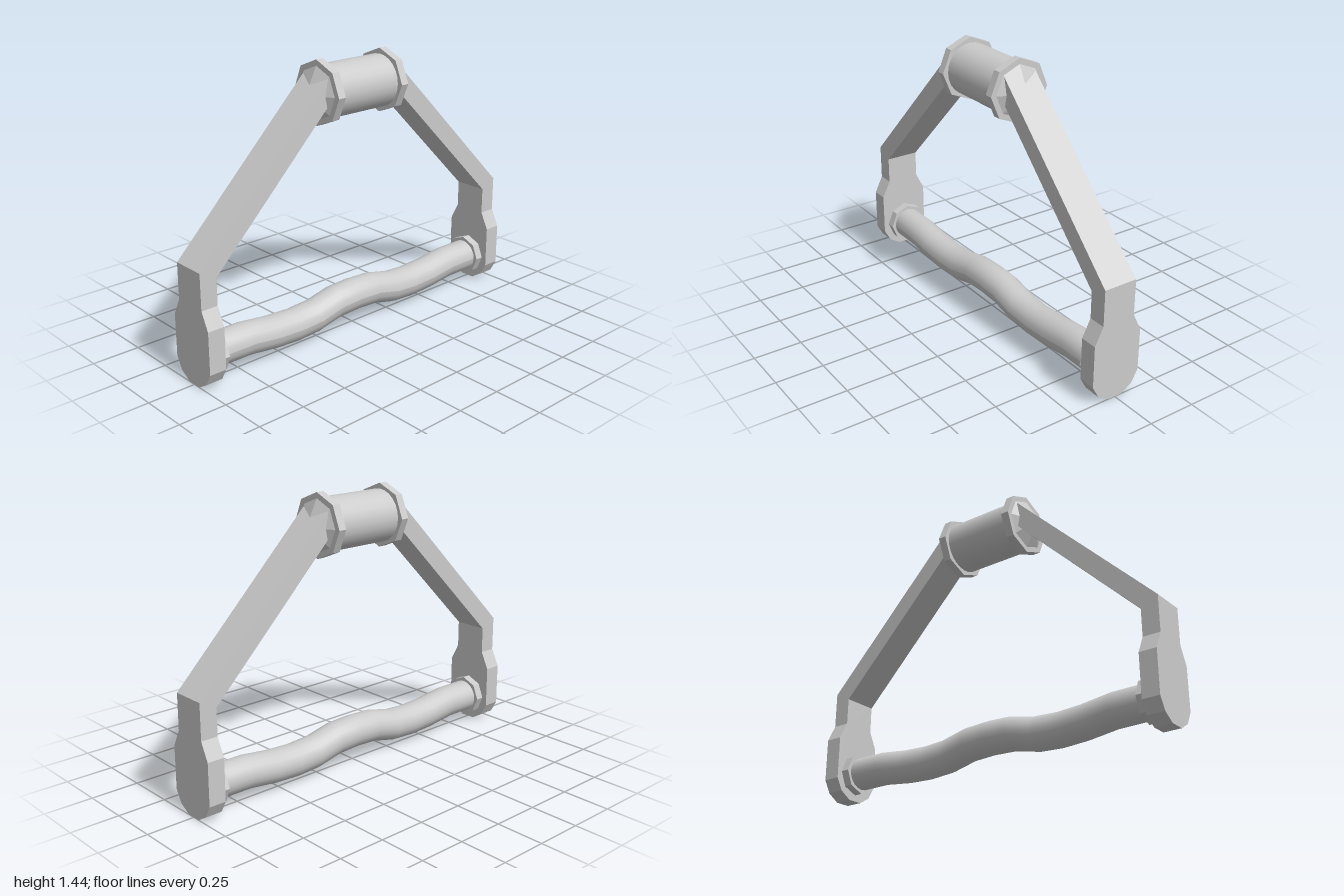
import * as THREE from 'three';

const material = new THREE.MeshStandardMaterial({ color: 0xcccccc });
const flatMaterial = new THREE.MeshStandardMaterial({ color: 0xcccccc, flatShading: true });

const HUB_Y = 1.277;
const GRIP_Y = 0.14;

function part(name, geometry, mat = flatMaterial) {
  const mesh = new THREE.Mesh(geometry, mat);
  mesh.name = name;
  return mesh;
}

// Cylinder or cone lying along x, from x0 to x1
function rod(r0, r1, x0, x1, y, sides, open = false) {
  return new THREE.CylinderGeometry(r1, r0, x1 - x0, sides, 1, open)
    .rotateZ(-Math.PI / 2)
    .translate((x0 + x1) / 2, y, 0);
}

function extrude(points, depth) {
  const shape = new THREE.Shape(points.map(([x, y]) => new THREE.Vector2(x, y)));
  return new THREE.ExtrudeGeometry(shape, { depth, bevelEnabled: false });
}

// Upright end plate: wide rounded foot, narrow neck, top mitred to meet the arm
function sidePlate() {
  const half = [[0.04, 0], [0.1, 0.037], [0.135, 0.1], [0.135, 0.32], [0.09, 0.41], [0.09, 0.595]];
  const mirrored = half.map(([z, y]) => [-z, y]).reverse();
  const geometry = extrude([...half, ...mirrored], 0.09).rotateY(Math.PI / 2).translate(0.91, 0, 0);
  const p = geometry.attributes.position;
  for (let i = 0; i < p.count; i++) {
    if (p.getY(i) > 0.5 && p.getX(i) < 0.95) p.setY(i, 0.55);
  }
  geometry.computeVertexNormals();
  return geometry;
}

// Sloping flat bar from the plate up into the hub
function arm() {
  return extrude([[0.91, 0.55], [1, 0.595], [0.228, 1.367], [0.228, 1.232]], 0.18).translate(0, 0, -0.09);
}

// Wavy hand grip: a cylinder whose rings follow a height profile
function grip() {
  const half = [[0, 0.158], [0.13, 0.152], [0.27, 0.12], [0.4, 0.112], [0.54, 0.119], [0.7, 0.139], [0.91, GRIP_Y]];
  const rings = [...half.slice(1).reverse().map(([x, y]) => [-x, y]), ...half];
  const n = rings.length - 1;
  const geometry = new THREE.CylinderGeometry(0.085, 0.085, n, 20, n, true).rotateZ(-Math.PI / 2);
  const p = geometry.attributes.position;
  for (let i = 0; i < p.count; i++) {
    const [x, y] = rings[Math.round(p.getX(i) + n / 2)];
    p.setX(i, x);
    p.setY(i, p.getY(i) + y);
  }
  geometry.computeVertexNormals();
  return geometry;
}

// Everything that repeats at both ends
function side(name) {
  const group = new THREE.Group();
  group.name = name;
  group.add(
    part('sidePlate', sidePlate()),
    part('arm', arm()),
    part('gripCollar', rod(0.107, 0.107, 0.865, 0.912, GRIP_Y, 8)),
    part('hubFlange', rod(0.163, 0.163, 0.185, 0.228, HUB_Y, 8)),
    part('hubCap', rod(0.135, 0, 0.227, 0.295, HUB_Y, 8, true)),
  );
  return group;
}

export function createModel() {
  const model = new THREE.Group();
  model.name = 'pullHandle';
  const left = side('leftSide');
  const right = side('rightSide');
  right.rotation.y = Math.PI;
  model.add(
    left,
    right,
    part('grip', grip(), material),
    part('hub', rod(0.134, 0.134, -0.19, 0.19, HUB_Y, 24, true), material),
  );
  return model;
}
